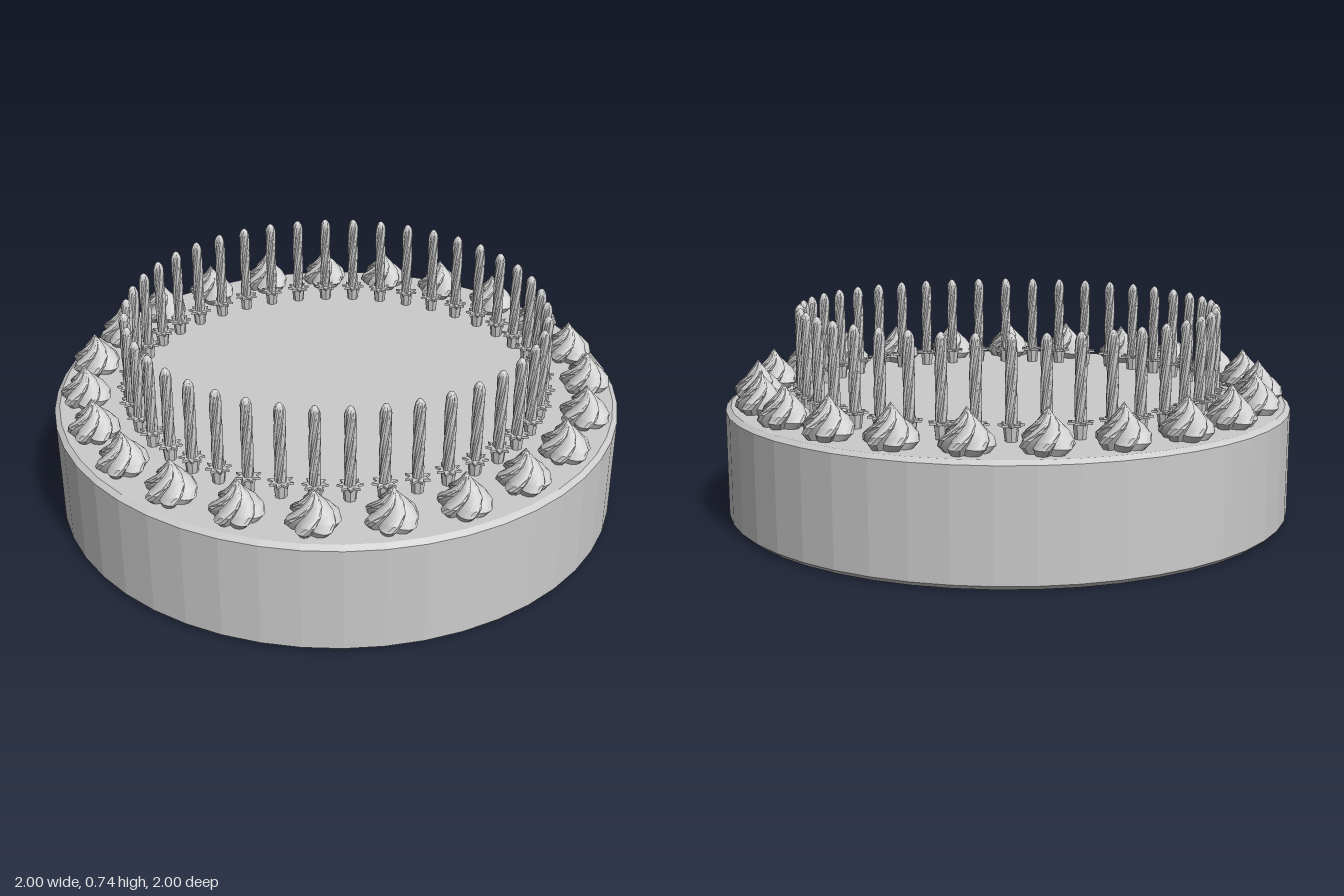
import * as THREE from 'three';
import { toCreasedNormals } from 'three/addons/utils/BufferGeometryUtils.js';

const TOP = 0.405;
const material = new THREE.MeshStandardMaterial({ color: 0xcccccc });
const sided = new THREE.MeshStandardMaterial({ color: 0xcccccc, side: THREE.DoubleSide });
const flat = new THREE.MeshStandardMaterial({ color: 0xcccccc, flatShading: true });

// Stack of lobed rings, each given as [y, radius, twist, lobe depth]
function twistedLoft(rings, lobes, perLobe) {
  const n = lobes * perLobe, pos = [], index = [];
  for (const [y, r, twist, depth] of rings) {
    for (let i = 0; i < n; i++) {
      const a = (i / n) * Math.PI * 2 + twist;
      const bulge = Math.sin(Math.PI * Math.pow((i % perLobe) / perLobe, 0.75));
      const rad = r * (1 - depth + depth * bulge);
      pos.push(Math.cos(a) * rad, y, Math.sin(a) * rad);
    }
  }
  for (let k = 0; k < rings.length - 1; k++) {
    for (let i = 0; i < n; i++) {
      const a = k * n + i, b = k * n + (i + 1) % n;
      index.push(a, a + n, b, b, a + n, b + n);
    }
  }
  const g = new THREE.BufferGeometry();
  g.setAttribute('position', new THREE.Float32BufferAttribute(pos, 3));
  g.setIndex(index);
  return toCreasedNormals(g, 0.6);
}

// Flat eight-pointed collar
function starGeometry(outer, inner, points, depth) {
  const pts = [];
  for (let i = 0; i < points * 2; i++) {
    const a = (i / points) * Math.PI, r = i % 2 ? inner : outer;
    pts.push(new THREE.Vector2(Math.cos(a) * r, Math.sin(a) * r));
  }
  const g = new THREE.ExtrudeGeometry(new THREE.Shape(pts), { depth, bevelEnabled: false });
  return g.rotateX(-Math.PI / 2);
}

function add(parent, name, geometry, mat = material) {
  const mesh = new THREE.Mesh(geometry, mat);
  mesh.name = name;
  parent.add(mesh);
  return mesh;
}

export function createModel() {
  const model = new THREE.Group();
  model.name = 'birthdayCake';

  // Cake body with small chamfers
  const profile = [[0, 0.005], [0.98, 0.005], [1, 0.022], [1, 0.392], [0.982, TOP], [0, TOP]];
  add(model, 'cakeBody', new THREE.LatheGeometry(profile.map(p => new THREE.Vector2(...p)), 48), flat);

  // Piped cream swirls around the rim
  const cream = twistedLoft([
    [0, 0.07, 0, 0.3], [0.022, 0.09, -0.1, 0.32], [0.045, 0.086, -0.35, 0.32],
    [0.068, 0.066, -0.7, 0.32], [0.09, 0.043, -1.1, 0.3], [0.112, 0.022, -1.5, 0.25],
    [0.128, 0.01, -1.8, 0.2], [0.142, 0, -2, 0],
  ], 6, 6);
  const swirls = new THREE.Group();
  swirls.name = 'creamSwirls';
  model.add(swirls);
  for (let i = 0; i < 23; i++) {
    const a = (i / 23) * Math.PI * 2;
    const swirl = add(swirls, 'creamSwirl', cream, sided);
    swirl.position.set(Math.cos(a) * 0.888, TOP, -Math.sin(a) * 0.888);
    swirl.rotation.y = a;
  }

  // Twisted candle stick with a rounded tip
  const rings = [];
  for (let i = 0; i <= 12; i++) rings.push([0.045 + i * 0.022, 0.02, -i * 0.2, 0.28]);
  rings.push([0.323, 0.016, -2.5, 0.2], [0.334, 0.009, -2.6, 0.1], [0.34, 0, -2.6, 0]);
  const stick = twistedLoft(rings, 5, 4);
  const collar = starGeometry(0.043, 0.024, 8, 0.008).translate(0, 0.048, 0);
  const cup = new THREE.CylinderGeometry(0.026, 0.02, 0.05, 8).translate(0, 0.025, 0);

  // Ring of candles in their holders
  const candles = new THREE.Group();
  candles.name = 'candles';
  model.add(candles);
  for (let i = 0; i < 42; i++) {
    const a = (i / 42) * Math.PI * 2;
    const candle = new THREE.Group();
    candle.name = 'candle';
    add(candle, 'candleStick', stick);
    add(candle, 'holderCollar', collar, flat);
    add(candle, 'holderCup', cup, flat);
    candle.position.set(Math.sin(a) * 0.735, TOP, Math.cos(a) * 0.735);
    candle.rotation.y = a;
    candles.add(candle);
  }
  return model;
}
